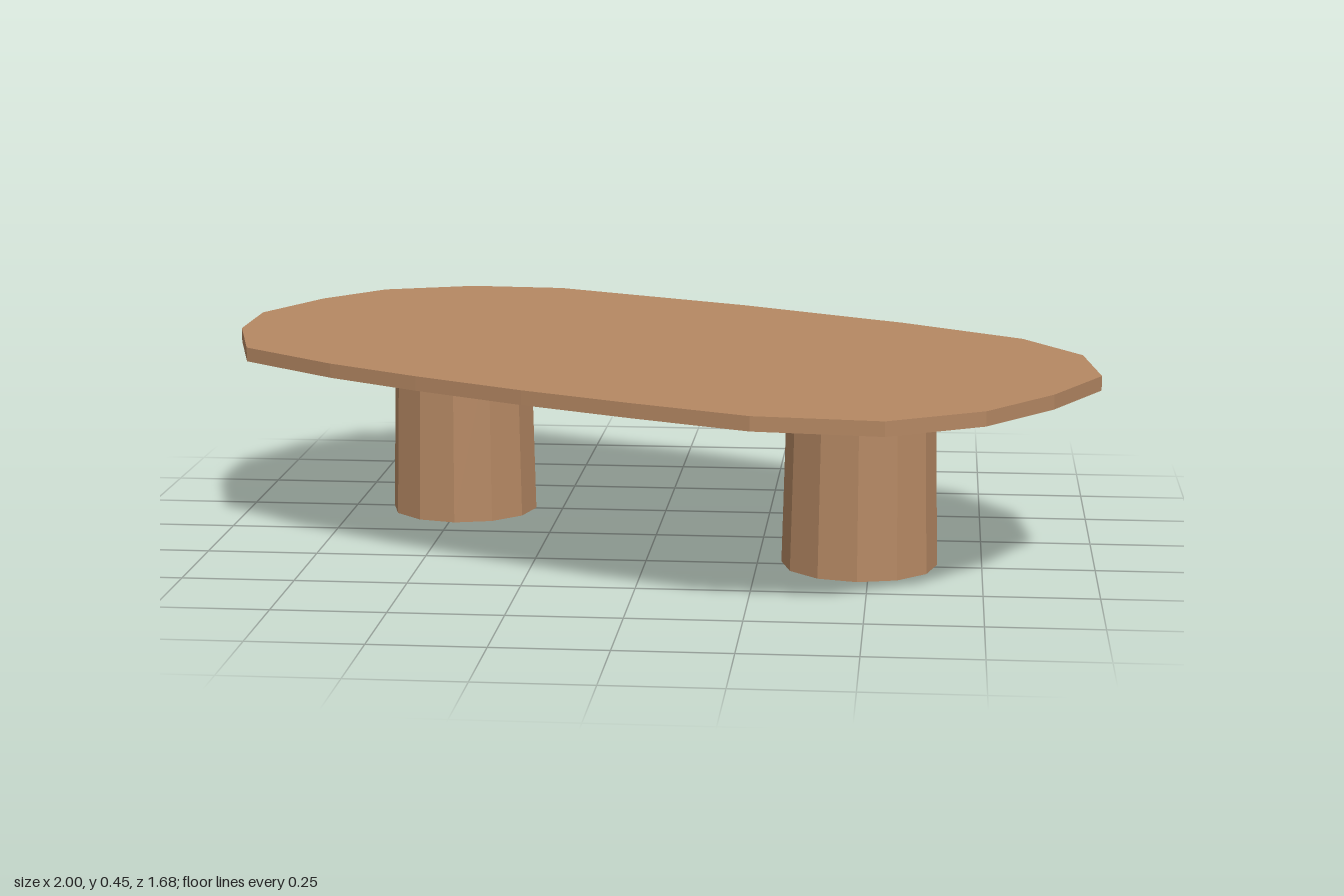
import * as THREE from 'three';

export function createModel() {
  const group = new THREE.Group();
  group.name = 'coffeeTable';
  const wood = new THREE.MeshStandardMaterial({ color: 0xb58863, flatShading: true });
  const openWood = wood.clone();
  openWood.side = THREE.DoubleSide;

  // Slab top: irregular rounded outline as [x, z]
  const outline = [
    [-0.55, -0.84], [-0.32, -0.825], [0.16, -0.595], [0.56, -0.365], [0.84, -0.165],
    [0.97, 0.04], [1, 0.295], [0.89, 0.52], [0.745, 0.715], [0.54, 0.84],
    [0.265, 0.81], [0.01, 0.695], [-0.235, 0.575], [-0.485, 0.435], [-0.7, 0.3],
    [-0.93, 0.115], [-1, -0.145], [-1, -0.375], [-0.895, -0.6], [-0.765, -0.76],
  ].map(([x, z]) => new THREE.Vector2(x, z));
  const top = 0.447, thickness = 0.032;
  const slab = new THREE.ExtrudeGeometry(new THREE.Shape(outline), { depth: thickness, bevelEnabled: false });
  slab.rotateX(Math.PI / 2).translate(0, top, 0);
  const tabletop = new THREE.Mesh(slab, wood);
  tabletop.name = 'tabletop';
  group.add(tabletop);

  // Two tapered twelve-sided legs, open at the ends
  const addLeg = (name, x, z, bottom) => {
    const height = top - thickness - bottom;
    const leg = new THREE.Mesh(new THREE.CylinderGeometry(0.163, 0.173, height, 12, 1, true), openWood);
    leg.position.set(x, bottom + height / 2, z);
    leg.name = name;
    group.add(leg);
  };
  addLeg('rightLeg', -0.487, -0.253, 0);
  addLeg('leftLeg', 0.478, 0.268, 0.01);

  return group;
}
